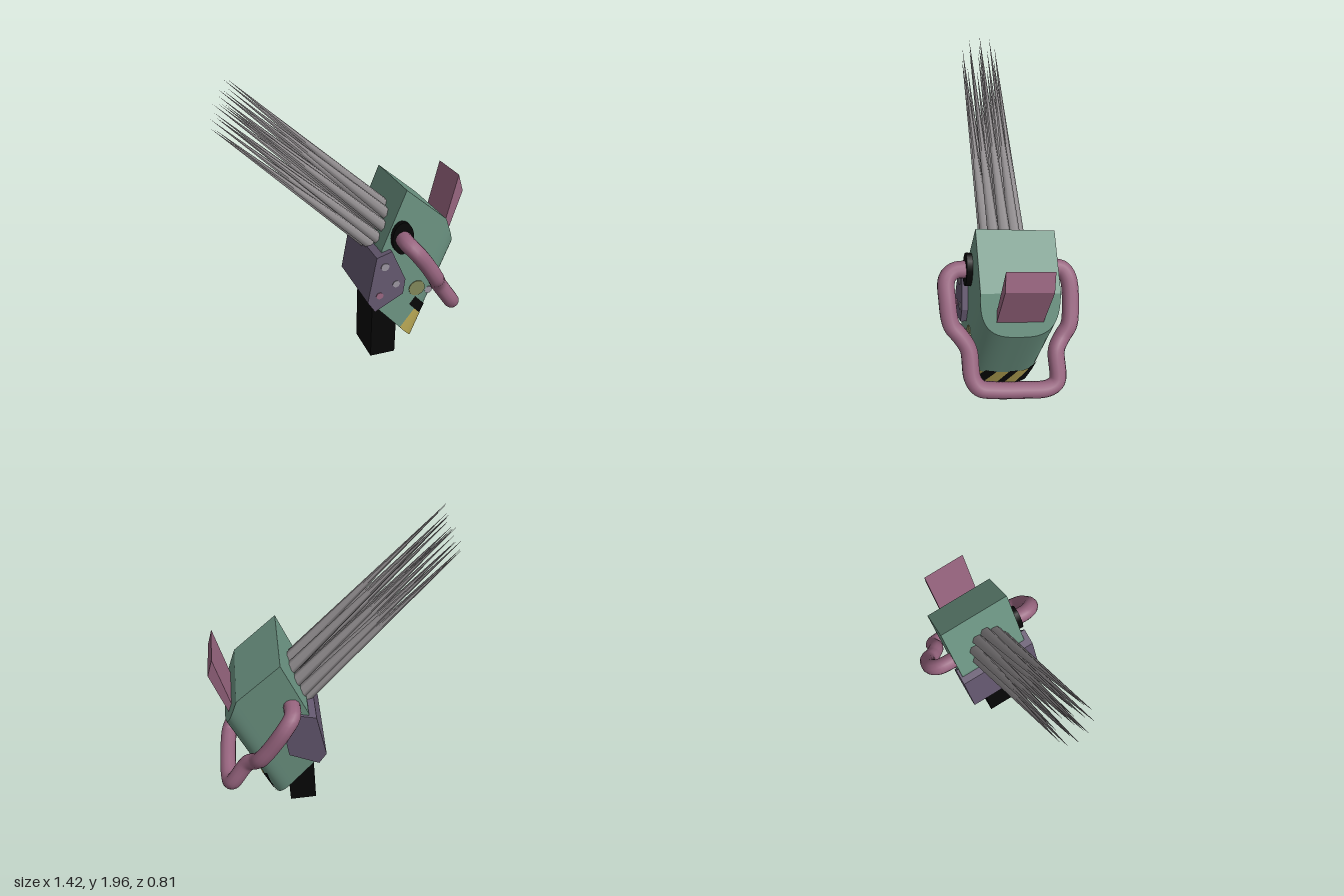
import * as THREE from 'three';

const mat = (name, color) => {
  const m = new THREE.MeshStandardMaterial({ color, side: THREE.DoubleSide });
  m.name = name;
  return m;
};

export function createModel() {
  const green = mat('hull green', 0x6a9180);
  const pink = mat('dusty pink', 0x96647e);
  const purple = mat('slate purple', 0x62566d);
  const black = mat('black', 0x060606);
  const yellow = mat('hazard yellow', 0xb8a754);
  const grey = mat('spike grey', 0x928e90);
  const ochre = mat('ochre', 0x7e8458);
  const pale = mat('pale stud', 0x97919c);

  const model = new THREE.Group();
  model.name = 'spikedDevice';
  // the casing leans slightly toward the back, with its cross edges skewed upward
  const lean = new THREE.Group();
  lean.name = 'casing';
  lean.position.set(0, 0.7, 0.01);
  lean.rotation.x = -0.09;
  model.add(lean);
  const skew = new THREE.Matrix4().makeShear(0, 0, 0, 0, 0, 0.07);

  const add = (name, geo, material, parent = lean) => {
    const mesh = new THREE.Mesh(geo, material);
    mesh.name = name;
    if (parent === lean) {
      geo.applyMatrix4(skew);
      mesh.position.y -= 0.7;
    }
    parent.add(mesh);
    return mesh;
  };
  const lerp = THREE.MathUtils.lerp;

  // grid surface from a rule f(s, t) -> [x, y, z]
  const sheet = (f, ns = 1, nt = 1) => {
    const pos = [], idx = [];
    for (let i = 0; i <= ns; i++)
      for (let j = 0; j <= nt; j++) pos.push(...f(i / ns, j / nt));
    for (let i = 0; i < ns; i++)
      for (let j = 0; j < nt; j++) {
        const a = i * (nt + 1) + j, b = a + nt + 1;
        idx.push(a, a + 1, b, b, a + 1, b + 1);
      }
    const g = new THREE.BufferGeometry();
    g.setAttribute('position', new THREE.Float32BufferAttribute(pos, 3));
    g.setIndex(idx);
    g.computeVertexNormals();
    return g;
  };

  // hull frame: u runs along the tilted axis, v across it toward the rounded side
  const HW = 0.22, CLIP = 0.1, FOLD = 0.325, DEPTH = 0.165;
  const at = (u, v, z) => [0.045 + 0.39 * u + 0.92 * v, 0.575 + 0.92 * u - 0.39 * v, z];
  const lo = v => (v < CLIP ? 0.32 - 3.73 * v : -0.53 * v);
  const hi = v => (v <= FOLD ? 0.71 - 0.36 * v : 0.593 - 1.14 * (v - FOLD));
  const arc = (t, grow = 0) => {
    const a = Math.PI * (0.5 - t), c = Math.max(0, Math.cos(a)), s = Math.sin(a);
    const r = Math.pow(c ** 3 + Math.abs(s) ** 3, -1 / 3);
    return [FOLD + (DEPTH + grow) * c * r, (HW + grow) * s * r];
  };

  add('hullRoundedSide', sheet((s, t) => {
    const [v, z] = arc(t);
    return at(lerp(lo(v), hi(v), s), v, z);
  }, 1, 36), green);
  add('hullUpperBevel', sheet((s, t) => {
    const [e, z] = arc(t), v = lerp(FOLD, e, s);
    return at(hi(v), v, z);
  }, 1, 36), green);
  add('hullBottom', sheet((s, t) => {
    const [e, z] = arc(t), v = lerp(CLIP, e, s);
    return at(lo(v), v, z);
  }, 1, 36), green);
  add('hullClippedCorner', sheet((s, t) => at(lo(s * CLIP), s * CLIP, lerp(HW, -HW, t))), green);
  add('hullTop', sheet((s, t) => at(hi(s * FOLD), s * FOLD, lerp(HW, -HW, t))), green);
  add('hullFlatSide', sheet((s, t) => at(lerp(lo(0), hi(0), s), 0, lerp(-HW, HW, t))), green);
  for (const k of [1, -1])
    for (const [v0, v1] of [[0, CLIP], [CLIP, FOLD]])
      add('hullCheek', sheet((s, t) => {
        const v = lerp(v0, v1, k > 0 ? t : 1 - t);
        return at(lerp(lo(v), hi(v), s), v, k * HW);
      }), green);

  // slanted warning stripes round the lower hull edge: [t0, t1, start, end, colour]
  const stripes = [
    [0.02, 0.25, 0, 0.17, yellow], [-0.07, 0.14, 0.17, 0.24, black],
    [0.25, 0.34, 0, 0.2, black], [0.34, 0.45, 0, 0.19, yellow],
    [0.45, 0.52, 0, 0.2, black], [0.52, 0.62, 0, 0.19, yellow],
    [0.62, 0.72, 0, 0.2, black],
  ];
  for (const [t0, t1, h0, h1, m] of stripes)
    add('warningStripe', sheet((s, t) => {
      const h = lerp(h0, h1, s);
      const [v, z] = arc(lerp(t0, t1, t) + 0.45 * h, 0.005);
      return at(lo(v) + h, v, z);
    }, 4, 10), m);

  // prism from an x-y outline, centred on z
  const prism = (pts, depth, z = 0) => {
    const g = new THREE.ExtrudeGeometry(
      new THREE.Shape(pts.map(p => new THREE.Vector2(...p))), { depth, bevelEnabled: false });
    return g.translate(0, 0, z - depth / 2);
  };
  add('sidePod', prism([[0.065, 0.54], [0.11, 0.465], [0.29, 0.555], [0.305, 0.655],
    [0.22, 0.865], [0.125, 0.84]], 0.49, 0.01), purple);
  add('rearFin', prism([[0.58, 0.8], [0.62, 0.82], [0.72, 1.115], [0.69, 1.225]], 0.26), pink);
  const grip = add('grip', new THREE.BoxGeometry(0.165, 0.5, 0.27), black);
  grip.position.x = 0.213;
  grip.position.y += 0.285;
  grip.rotation.z = -0.04;

  // thin round details on the front
  const disc = (name, x, y, z, r, m, h = 0.008, sx = 1) => {
    const g = new THREE.CylinderGeometry(r, r, h, 20).rotateX(Math.PI / 2);
    g.scale(sx, 1, 1).translate(x, y, z);
    add(name, g, m);
  };
  disc('podStud', 0.175, 0.77, 0.256, 0.025, pale);
  disc('podStud', 0.245, 0.635, 0.256, 0.022, pale);
  disc('podStud', 0.14, 0.575, 0.256, 0.022, pink);
  disc('hullPatch', 0.395, 0.55, 0.222, 0.052, ochre);
  disc('hullFleck', 0.478, 0.51, 0.208, 0.024, pale);
  disc('pipeSocket', 0.29, 0.935, 0.23, 0.105, black, 0.045, 0.63);

  // one pipe looping from the front socket round to the back
  const path = [
    [0.29, 0.97, 0.2], [0.292, 0.975, 0.3], [0.32, 0.95, 0.345], [0.39, 0.85, 0.357],
    [0.46, 0.73, 0.348], [0.492, 0.67, 0.305], [0.53, 0.6, 0.268], [0.62, 0.455, 0.262],
    [0.65, 0.405, 0.225], [0.66, 0.385, 0.15], [0.666, 0.36, 0], [0.66, 0.335, -0.17],
    [0.64, 0.36, -0.225], [0.54, 0.51, -0.24], [0.49, 0.56, -0.285], [0.46, 0.61, -0.33],
    [0.4, 0.7, -0.352], [0.31, 0.84, -0.355], [0.272, 0.885, -0.32], [0.265, 0.9, -0.2],
  ].map(p => new THREE.Vector3(...p));
  add('pipe', new THREE.TubeGeometry(new THREE.CatmullRomCurve3(path), 120, 0.049, 12), pink, model);

  // bundle of long spikes standing on the flat side
  const dir = new THREE.Vector3(-0.875, 0.925, -0.015);
  const len = dir.length();
  const turn = new THREE.Quaternion().setFromUnitVectors(
    new THREE.Vector3(0, 1, 0), dir.clone().normalize());
  const spikes = new THREE.Group();
  spikes.name = 'spikes';
  model.add(spikes);
  const spikeGeo = new THREE.ConeGeometry(0.036, len, 6).translate(0, len / 2, 0);
  for (const [count, r] of [[1, 0], [5, 0.055], [10, 0.1]])
    for (let i = 0; i < count; i++) {
      const a = (i / count) * Math.PI * 2, d = r * 1.38 * Math.cos(a);
      const spike = add('spike', spikeGeo, grey, spikes);
      spike.position.set(0.225 + 0.39 * d, 0.925 + 0.92 * d, r * Math.sin(a));
      spike.quaternion.copy(turn);
    }
  return model;
}
